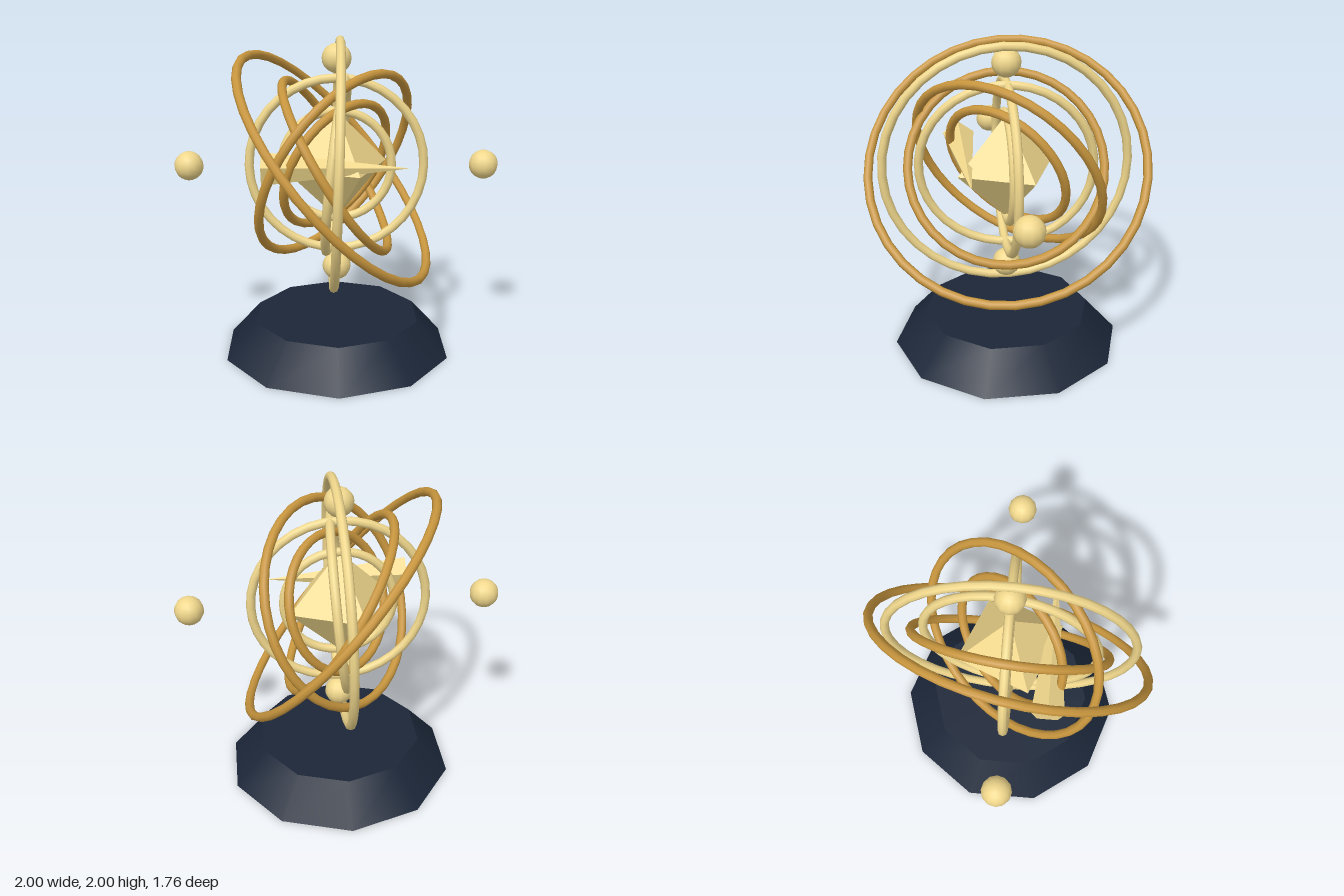
import * as THREE from 'three';

const paleGold = new THREE.MeshStandardMaterial({ color: 0xf0d78c });
const facetedGold = new THREE.MeshStandardMaterial({ color: 0xf0d78c, flatShading: true });
const bronze = new THREE.MeshStandardMaterial({ color: 0xc8963e });
const navy = new THREE.MeshStandardMaterial({ color: 0x1b2638 });

const CENTER_Y = 1.21;
const TUBE = 0.028;

// name, radius, plane normal, material
const RINGS = [
  ['outerBronzeRing', 0.865, [0.735, 0.65, 0.18], bronze],
  ['outerGoldRing', 0.762, [1, -0.03, 0.01], paleGold],
  ['tiltedBronzeRing', 0.65, [0.7, -0.43, 0.575], bronze],
  ['middleBronzeRing', 0.607, [0.84, 0.53, 0.08], bronze],
  ['frontGoldRing', 0.54, [0, 0, 1], paleGold],
  ['sideGoldRing', 0.54, [1, -0.1, 0.1], paleGold],
  ['innerBronzeRing', 0.43, [0.667, -0.367, 0.655], bronze],
  ['innerGoldRing', 0.34, [0, 0, 1], paleGold],
];

export function createModel() {
  const model = new THREE.Group();
  const add = (parent, name, geometry, material, x = 0, y = 0, z = 0) => {
    const mesh = new THREE.Mesh(geometry, material);
    mesh.name = name;
    mesh.position.set(x, y, z);
    parent.add(mesh);
    return mesh;
  };

  // Ten-sided tapered pedestal
  add(model, 'base', new THREE.CylinderGeometry(0.53, 0.73, 0.225, 10), navy, 0, 0.1125, 0);

  // Everything above the pedestal floats around one centre
  const sphere = new THREE.Group();
  sphere.name = 'armillarySphere';
  sphere.position.y = CENTER_Y;
  model.add(sphere);

  // Nested rings, each turned to face its normal
  const forward = new THREE.Vector3(0, 0, 1);
  for (const [name, radius, normal, material] of RINGS) {
    const ring = add(sphere, name, new THREE.TorusGeometry(radius, TUBE, 8, 36), material);
    ring.quaternion.setFromUnitVectors(forward, new THREE.Vector3(...normal).normalize());
  }

  // Faceted core
  const core = add(sphere, 'core', new THREE.OctahedronGeometry(0.34), facetedGold);
  core.rotation.y = 0.4;

  // Five-sided pointer lying along x in front of the core
  const pointer = add(sphere, 'pointer',
    new THREE.ConeGeometry(0.105, 0.88, 5, 1, false, -Math.PI / 2), facetedGold, -0.01, 0.043, 0.257);
  pointer.rotation.z = -Math.PI / 2;

  // Four orbs at the sides, top and bottom
  const orb = new THREE.SphereGeometry(0.09, 12, 10);
  for (const s of [1, -1]) {
    add(sphere, s > 0 ? 'leftOrb' : 'rightOrb', orb, paleGold, s * 0.91, 0, 0);
    add(sphere, s > 0 ? 'topOrb' : 'bottomOrb', orb, paleGold, 0, s * 0.66, 0);
  }

  return model;
}
